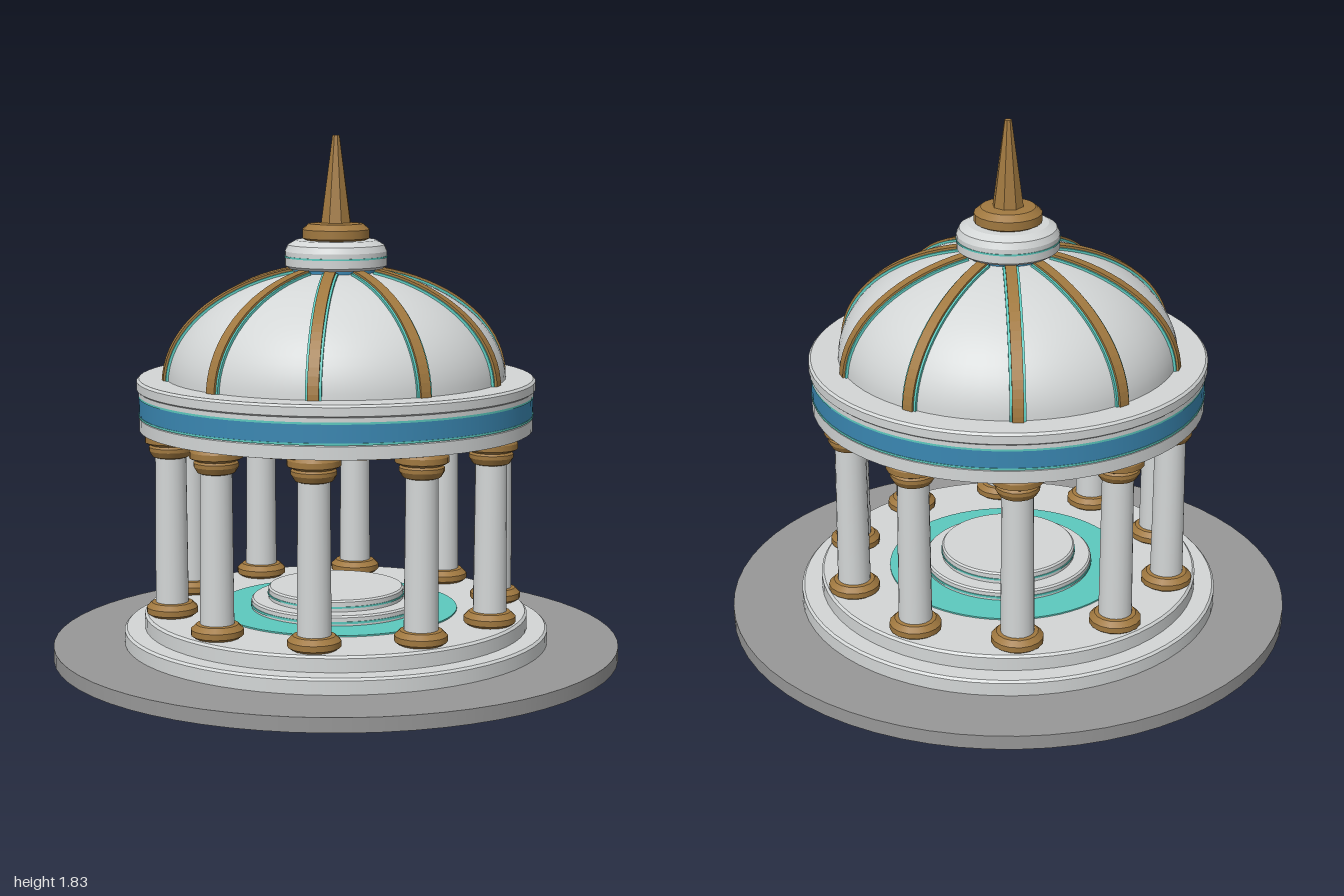
import * as THREE from 'three';

const mat = (name, color, side = THREE.FrontSide) => {
  const m = new THREE.MeshStandardMaterial({ color, side });
  m.name = name;
  return m;
};

export function createModel() {
  const marble = mat('marble', 0xd3d6d6);
  const stone = mat('grey stone', 0x979797);
  const bronze = mat('bronze', 0xa0783f);
  const blue = mat('blue band', 0x3a87b2);
  const teal = mat('teal glow', 0x5cc9be);

  const group = new THREE.Group();
  const add = (name, geo, material, parent = group) => {
    const mesh = new THREE.Mesh(geo, material);
    mesh.name = name;
    parent.add(mesh);
    return mesh;
  };

  // Solid turned from [radius, height] points; each segment has its own
  // vertices along the profile so its edges stay crisp.
  const turned = (name, points, material, sides = 64, parent = group) => {
    const part = new THREE.Group();
    part.name = name;
    for (let i = 0; i < points.length - 1; i++) {
      const pair = [points[i], points[i + 1]].map(([r, y]) => new THREE.Vector2(r, y));
      add(name + 'Face', new THREE.LatheGeometry(pair, sides), material, part);
    }
    parent.add(part);
    return part;
  };
  const drum = (name, r, y0, y1, material, bevel = 0) => turned(name, bevel
    ? [[0, y0], [r, y0], [r, y1 - bevel], [r - bevel, y1], [0, y1]]
    : [[0, y0], [r, y0], [r, y1], [0, y1]], material);

  // Ground disc and steps
  drum('groundDisc', 1, 0, 0.05, stone);
  drum('lowerStep', 0.75, 0.05, 0.105, marble, 0.008);
  drum('upperStep', 0.678, 0.105, 0.16, marble, 0.008);

  // Pool floor and central pedestal
  drum('poolFloor', 0.43, 0.158, 0.165, teal);
  drum('pedestalBase', 0.3, 0.16, 0.2, marble, 0.006);
  drum('pedestalBaseTrim', 0.303, 0.172, 0.18, teal);
  drum('pedestalTop', 0.24, 0.2, 0.24, marble, 0.006);
  drum('pedestalTopTrim', 0.243, 0.212, 0.218, teal);

  // Ten columns with bronze bases and capitals
  const COUNT = 10;
  const columnRadius = 0.585;
  for (let i = 0; i < COUNT; i++) {
    const a = (i / COUNT) * Math.PI * 2;
    const column = new THREE.Group();
    column.name = 'column';
    column.position.set(Math.cos(a) * columnRadius, 0, Math.sin(a) * columnRadius);
    add('columnShaft', new THREE.CylinderGeometry(0.054, 0.058, 0.54, 20, 1, true), marble, column)
      .position.y = 0.47;
    turned('columnBase', [[0.075, 0.16], [0.09, 0.17], [0.09, 0.19], [0.072, 0.207], [0.05, 0.21]],
      bronze, 16, column);
    turned('columnCapital', [[0.05, 0.72], [0.064, 0.725], [0.076, 0.745], [0.076, 0.758], [0.07, 0.765],
      [0.09, 0.775], [0.09, 0.795], [0.08, 0.812]], bronze, 16, column);
    group.add(column);
  }

  // Ring beam: ceiling, mouldings and blue frieze
  drum('ceiling', 0.665, 0.805, 0.812, bronze);
  drum('lowerMoulding', 0.69, 0.81, 0.86, marble, 0.006);
  drum('lowerTealTrim', 0.692, 0.858, 0.865, teal);
  drum('blueFrieze', 0.69, 0.862, 0.928, blue);
  drum('upperTealTrim', 0.692, 0.926, 0.933, teal);
  turned('cornice', [[0.66, 0.933], [0.692, 0.933], [0.692, 0.948], [0.698, 0.953], [0.698, 0.982],
    [0.69, 0.99], [0, 0.99]], marble);

  // Dome on an elliptical profile
  const domeR = 0.595, domeH = 0.39, domeY = 0.98;
  const onDome = (t, lift) => new THREE.Vector2(
    (domeR + lift) * Math.cos(t), domeY + (domeH + lift) * Math.sin(t));
  const domePoints = [];
  for (let i = 0; i <= 20; i++) domePoints.push(onDome((i / 20) * Math.PI / 2, 0));
  domePoints[20].x = 0;
  add('dome', new THREE.LatheGeometry(domePoints, 64), marble);

  // Curved ribs, each a bronze strap on a slightly wider teal strip
  const ribGeometry = (lift, width) => {
    const steps = 18, tMax = 1.31, points = [];
    for (let i = 0; i <= steps; i++) points.push(onDome((i / steps) * tMax, lift));
    for (let i = steps; i >= 0; i--) points.push(onDome((i / steps) * tMax, -0.02));
    return new THREE.ExtrudeGeometry(new THREE.Shape(points), { depth: width, bevelEnabled: false })
      .translate(0, 0, -width / 2);
  };
  const strap = ribGeometry(0.016, 0.038);
  const strip = ribGeometry(0.008, 0.054);
  for (let i = 0; i < COUNT; i++) {
    const rib = new THREE.Group();
    rib.name = 'domeRib';
    rib.rotation.y = (i / COUNT) * Math.PI * 2;
    add('ribStrap', strap, bronze, rib);
    add('ribGlow', strip, teal, rib);
    group.add(rib);
  }

  // Crown: blue collar, marble drum, bronze foot and spire
  drum('crownCollar', 0.145, 1.34, 1.374, blue);
  turned('crownDrum', [[0, 1.37], [0.165, 1.37], [0.178, 1.38], [0.178, 1.43], [0.168, 1.452],
    [0.14, 1.468], [0, 1.47]], marble, 40);
  drum('crownTrim', 0.18, 1.408, 1.414, teal);
  turned('spireFoot', [[0.1, 1.465], [0.118, 1.475], [0.118, 1.505], [0.095, 1.525], [0, 1.532]], bronze, 20);
  const spire = new THREE.CylinderGeometry(0.013, 0.055, 0.305, 8).toNonIndexed();
  spire.computeVertexNormals();
  add('spire', spire, bronze).position.y = 1.6775;

  return group;
}
